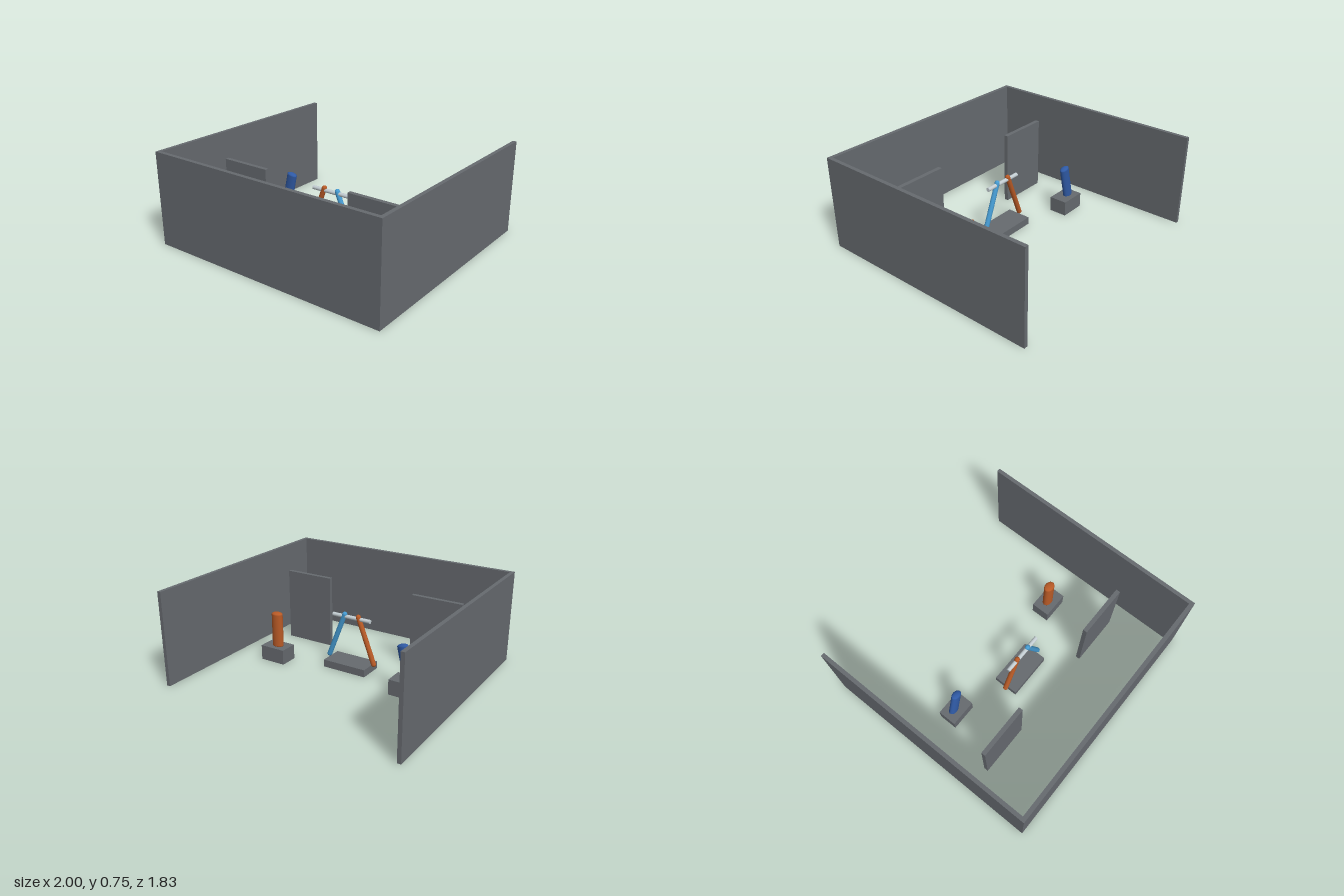
import * as THREE from 'three';

const mat = (name, color) => {
  const m = new THREE.MeshStandardMaterial({ color });
  m.name = name;
  return m;
};

export function createModel() {
  const group = new THREE.Group();
  const grey = mat('concrete grey', 0x666a6f);
  const orange = mat('burnt orange', 0xb85a26);
  const blue = mat('deep blue', 0x2f5aa5);
  const sky = mat('sky blue', 0x459bd2);
  const silver = mat('pale silver', 0xc3cdd2);

  const add = (name, geometry, material) => {
    const mesh = new THREE.Mesh(geometry, material);
    mesh.name = name;
    group.add(mesh);
    return mesh;
  };
  // Box given by its minimum and maximum corners
  const box = (name, x0, x1, y0, y1, z0, z1) => {
    const g = new THREE.BoxGeometry(x1 - x0, y1 - y0, z1 - z0);
    add(name, g, grey).position.set((x0 + x1) / 2, (y0 + y1) / 2, (z0 + z1) / 2);
  };
  // Aligns a y-axis mesh with the segment from a to b
  const along = (mesh, a, b) => {
    mesh.position.addVectors(a, b).multiplyScalar(0.5);
    mesh.quaternion.setFromUnitVectors(new THREE.Vector3(0, 1, 0), b.clone().sub(a).normalize());
  };
  const v = (x, y, z) => new THREE.Vector3(x, y, z);

  // Three enclosing walls, open at the back
  box('frontWall', -0.97, 0.97, 0, 0.75, 0.885, 0.917);
  box('rightWall', -1, -0.97, 0, 0.75, -0.917, 0.917);
  box('leftWall', 0.97, 1, 0, 0.75, -0.917, 0.917);

  // Free-standing panels and plinths, mirrored
  for (const [side, s] of [['right', -1], ['left', 1]]) {
    const c = s * 0.59;
    box(side + 'Panel', c - 0.21, c + 0.21, 0, 0.6, 0.383, 0.417);
    box(side + 'Plinth', c - 0.108, c + 0.108, 0, 0.122, -0.15, 0);
  }
  box('centrePlinth', -0.187, 0.187, 0, 0.06, 0, 0.2);

  // Oval columns with softly domed ends
  const column = (name, a, b, rx, rz, material) => {
    const h = a.distanceTo(b) / 2, dome = 0.018, pts = [];
    for (let i = 0; i <= 16; i++) {
      const t = -Math.PI / 2 + (i / 16) * Math.PI;
      const end = i < 8 ? -1 : 1;
      if (i === 8) pts.push(new THREE.Vector2(1, -(h - dome)));
      pts.push(new THREE.Vector2(Math.max(Math.cos(t), 0), end * (h - dome) + dome * Math.sin(t)));
    }
    const g = new THREE.LatheGeometry(pts, 32);
    g.scale(rx, 1, rz);
    along(add(name, g, material), a, b);
  };
  column('orangeColumn', v(0.583, 0.11, -0.077), v(0.583, 0.41, -0.077), 0.048, 0.036, orange);
  column('leaningBlueColumn', v(-0.617, 0.11, -0.077), v(-0.55, 0.395, -0.077), 0.045, 0.029, blue);

  // Splayed legs carrying a crossbar
  const leg = (name, s, material) => {
    const a = v(s * 0.205, 0.07, 0.114), b = v(s * 0.062, 0.437, 0.114);
    along(add(name, new THREE.CapsuleGeometry(0.02, a.distanceTo(b), 8, 20), material), a, b);
  };
  leg('orangeLeg', -1, orange);
  leg('blueLeg', 1, sky);
  const bar = add('crossbar', new THREE.CylinderGeometry(0.016, 0.016, 0.338, 20), silver);
  along(bar, v(-0.169, 0.42, 0.114), v(0.169, 0.42, 0.114));

  return group;
}
